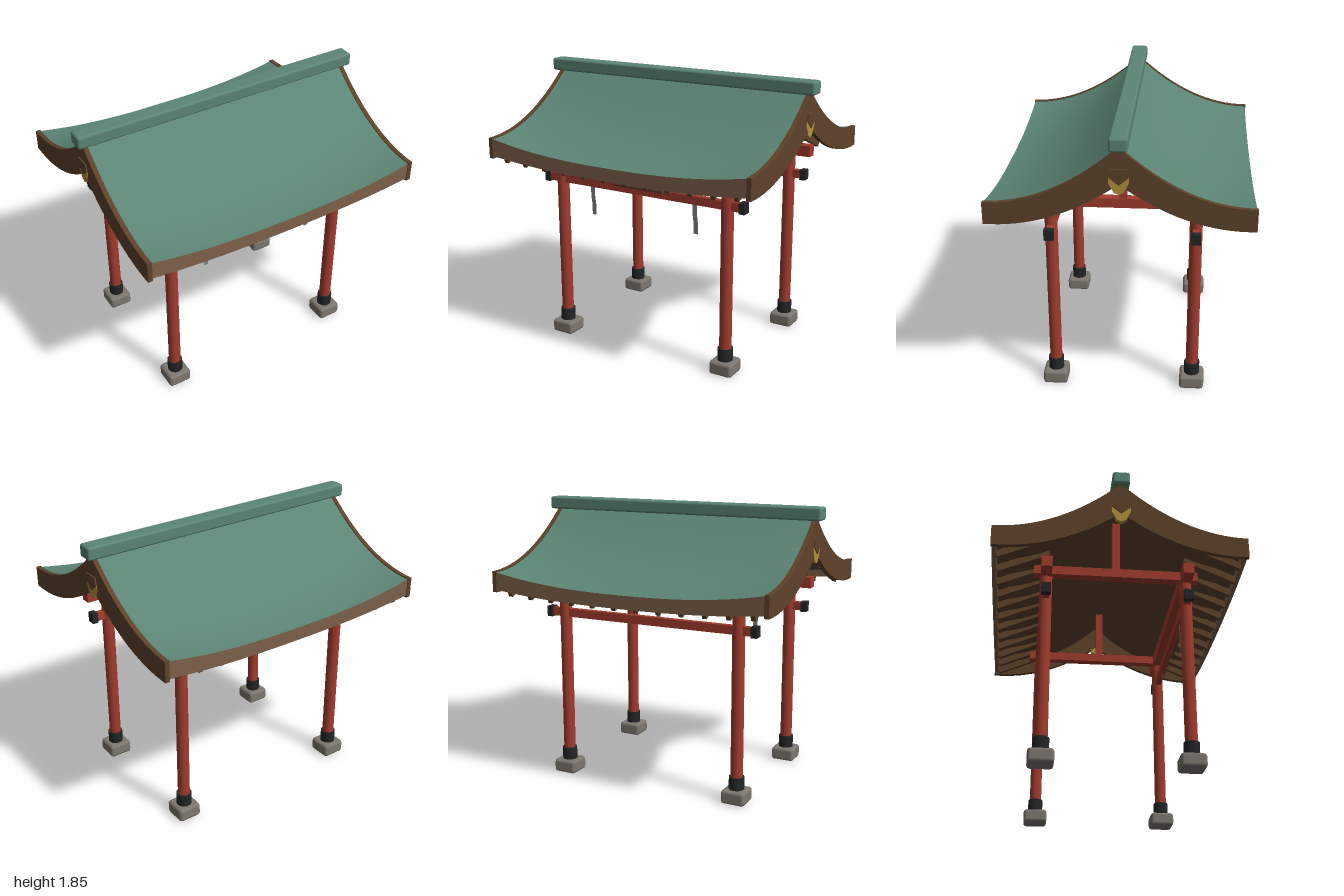
import * as THREE from 'three';
import { RoundedBoxGeometry } from 'three/addons/geometries/RoundedBoxGeometry.js';

const mat = (name, color, side = THREE.FrontSide) => {
  const m = new THREE.MeshStandardMaterial({ color, side });
  m.name = name;
  return m;
};

export function createModel() {
  const red = mat('red lacquer', 0xa23c2e);
  const green = mat('green copper', 0x5c8575);
  const brown = mat('dark timber', 0x5e422b);
  const tan = mat('light timber', 0x7d604a);
  const black = mat('black iron', 0x232526);
  const stone = mat('stone', 0x7d7870);
  const gold = mat('gold', 0xb3923a);
  const paper = mat('paper', 0x86867e, THREE.DoubleSide);

  const model = new THREE.Group();
  model.name = 'shrineGate';
  const add = (name, geometry, material, x = 0, y = 0, z = 0, parent = model) => {
    const mesh = new THREE.Mesh(geometry, material);
    mesh.name = name;
    mesh.position.set(x, y, z);
    parent.add(mesh);
    return mesh;
  };
  const box = (name, w, h, d, material, x, y, z, parent) =>
    add(name, new THREE.BoxGeometry(w, h, d), material, x, y, z, parent);

  // Posts with stone feet and iron collars
  for (const x of [-0.63, 0.63]) for (const z of [-0.45, 0.45]) {
    const post = new THREE.Group();
    post.name = 'post';
    post.position.set(x, 0, z);
    model.add(post);
    add('footStone', new RoundedBoxGeometry(0.16, 0.09, 0.16, 1, 0.02), stone, 0, 0.045, 0, post);
    add('collar', new THREE.CylinderGeometry(0.05, 0.05, 0.085, 16), black, 0, 0.13, 0, post);
    add('shaft', new THREE.CylinderGeometry(0.04, 0.04, 1.2, 16), red, 0, 0.68, 0, post);
  }

  // Long beams on the front and back
  for (const z of [-0.45, 0.45]) {
    box('tieBeam', 1.44, 0.055, 0.04, red, 0, 1.125, z);
    for (const x of [-0.74, 0.74]) box('beamCap', 0.04, 0.07, 0.06, black, x, 1.125, z);
    box('topBeam', 1.58, 0.075, 0.07, red, 0, 1.297, z);
  }

  // Cross beams and king struts
  for (const x of [-0.63, 0.63]) {
    box('crossBeam', 0.06, 0.06, 1.06, red, x, 1.31, 0);
    box('kingStrut', 0.05, 0.36, 0.05, red, x, 1.51, 0);
  }

  // Sagging roof surface whose eaves rise towards the ends
  const lift = (x) => Math.pow(Math.min(Math.abs(x) / 0.93, 1), 2.5);
  const roofY = (x, z) => {
    const s = Math.abs(z) / 0.8, r = 1 - s;
    return 1.345 + 0.435 * (0.85 * r * r + 0.15 * r) + 0.075 * s * lift(x);
  };
  // Bends a box so its top and bottom follow the roof
  const bend = (geometry, depthAt) => {
    const p = geometry.attributes.position;
    for (let i = 0; i < p.count; i++) {
      const x = p.getX(i), z = p.getZ(i);
      p.setY(i, roofY(x, z) - (p.getY(i) < 0 ? depthAt(x) : 0));
    }
    geometry.computeVertexNormals();
    return geometry;
  };

  for (const turn of [0, Math.PI]) {
    const slope = new THREE.Group();
    slope.name = 'roofSlope';
    slope.rotation.y = turn;
    model.add(slope);

    // Green covering with a timber underside
    const sheet = new THREE.BoxGeometry(1.87, 1, 0.775, 28, 1, 16).translate(0, 0, 0.3875);
    add('roofSheet', bend(sheet, () => 0.05), [brown, brown, green, brown, brown, brown], 0, 0, 0, slope);

    // Curved eave board
    const board = new THREE.BoxGeometry(1.87, 1, 0.03, 28, 1, 1).translate(0, 0, 0.78);
    add('eaveBoard', bend(board, (x) => 0.085 + 0.03 * lift(x)), [tan, tan, green, tan, tan, tan], 0, 0, 0, slope);

    // Rafter tails under the eave
    for (let i = 0; i < 12; i++) {
      const x = -0.85 + i * (1.7 / 11);
      const rafter = box('rafter', 0.028, 0.045, 0.36, brown, x, 1.329 + 0.03 * lift(x), 0.602, slope);
      rafter.rotation.x = Math.atan(0.43);
    }
  }

  // Side-facing plates: outline in (z, y), thickness along x
  const plate = (points, depth) => {
    const shape = new THREE.Shape(points.map(([z, y]) => new THREE.Vector2(z, y)));
    return new THREE.ExtrudeGeometry(shape, { depth, bevelEnabled: false })
      .translate(0, 0, -depth / 2).rotateY(-Math.PI / 2);
  };

  // Bargeboards with gable ornaments
  const upper = [], lower = [];
  for (let i = -16; i <= 16; i++) {
    const z = i / 20, s = Math.abs(z) / 0.8;
    const y = roofY(0.93, z);
    const m = 0.435 * (1.7 * (1 - s) + 0.15) / 0.8 - 0.094;
    upper.push([z, y + 0.006]);
    lower.unshift([z, y - (0.16 - 0.03 * s) * Math.sqrt(1 + m * m)]);
  }
  const barge = plate([...lower, ...upper], 0.03);
  const pendant = plate([[0, 1.5], [0.03, 1.515], [0.06, 1.575], [0.06, 1.61],
    [-0.06, 1.61], [-0.06, 1.575], [-0.03, 1.515]], 0.03);
  const wedge = plate([[0, 1.56], [0.06, 1.61], [0.05, 1.657], [-0.05, 1.657], [-0.06, 1.61]], 0.02);
  for (const side of [-1, 1]) {
    add('bargeboard', barge, brown, side * 0.945);
    add('gablePendant', pendant, gold, side * 0.948);
    add('gableWedge', wedge, brown, side * 0.96);
  }

  // Ridge cap
  add('ridgeCap', new RoundedBoxGeometry(2, 0.085, 0.11, 2, 0.015), green, 0, 1.812, 0);

  // Blank framed plaque on the front
  const plaque = new THREE.Group();
  plaque.name = 'plaque';
  plaque.position.set(0, 1.21, 0.492);
  plaque.rotation.x = 0.06;
  model.add(plaque);
  box('plaquePanel', 0.36, 0.12, 0.016, tan, 0, 0, 0, plaque);
  for (const s of [-1, 1]) {
    box('plaqueRail', 0.374, 0.014, 0.026, brown, 0, s * 0.06, 0, plaque);
    box('plaqueStile', 0.014, 0.134, 0.026, brown, s * 0.18, 0, 0, plaque);
  }

  // Paper streamers hanging from the front tie beam
  const edge = [[0, 1.1], [0, 1.03], [0.008, 0.97], [0.008, 0.9]];
  const outline = [...edge, ...edge.map(([x, y]) => [x + 0.032, y]).reverse()];
  const strip = new THREE.ShapeGeometry(new THREE.Shape(outline.map(([x, y]) => new THREE.Vector2(x, y))));
  for (const x of [-0.4, 0.382]) add('paperStreamer', strip, paper, x, 0, 0.45);

  return model;
}
